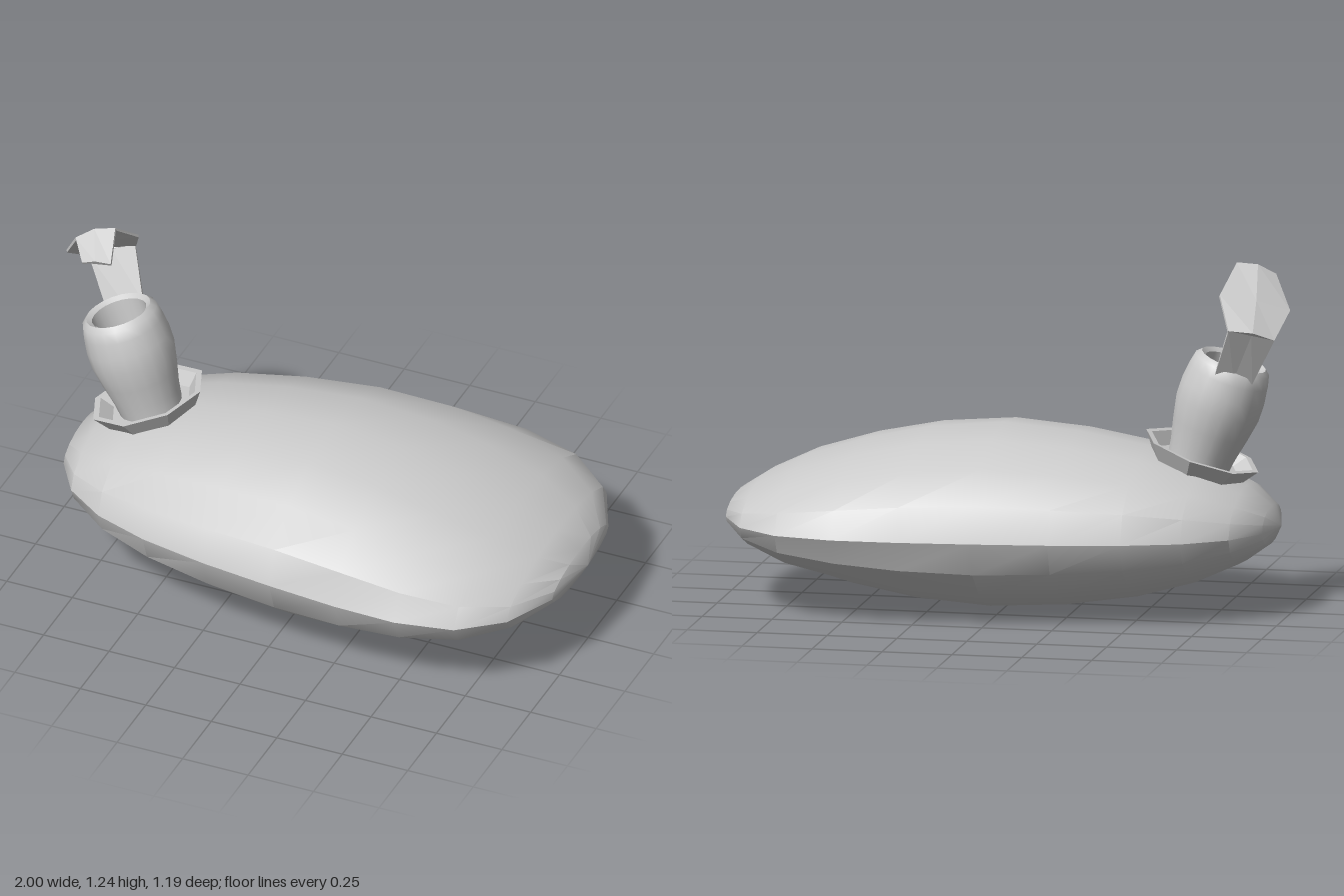
import * as THREE from 'three';
import { toCreasedNormals } from 'three/addons/utils/BufferGeometryUtils.js';

const material = (options = {}) => new THREE.MeshStandardMaterial({ color: 0xcccccc, ...options });

function addMesh(parent, name, geometry, mat) {
  const mesh = new THREE.Mesh(geometry, mat);
  mesh.name = name;
  parent.add(mesh);
  return mesh;
}

// Joins closed rings of equal point count into a surface, optionally capping the ends.
function loft(rings, capped = false) {
  const n = rings[0].length;
  const index = [];
  for (let i = 0; i < rings.length - 1; i++) {
    for (let j = 0; j < n; j++) {
      const k = (j + 1) % n;
      const a = i * n + j, b = a + n, c = (i + 1) * n + k, d = i * n + k;
      if (i < rings.length - 2 || capped) index.push(a, b, c);
      if (i > 0 || capped) index.push(a, c, d);
      else index.push(a, b, c);
      if (i === rings.length - 2 && !capped) index.push(a, b, d);
    }
  }
  if (capped) {
    const last = (rings.length - 1) * n;
    for (let j = 1; j < n - 1; j++) {
      index.push(0, j, j + 1, last, last + j + 1, last + j);
    }
  }
  const geometry = new THREE.BufferGeometry().setFromPoints(rings.flat());
  geometry.setIndex(index);
  geometry.computeVertexNormals();
  return geometry;
}

// Thin bent plate running through pairs of left and right edge points.
function plate(edges, bulge, thickness) {
  const pairs = edges.map(([l, r]) => [new THREE.Vector3(...l), new THREE.Vector3(...r)]);
  const mids = pairs.map(([l, r]) => l.clone().lerp(r, 0.5));
  const rings = pairs.map(([l, r], i) => {
    const along = mids[Math.min(i + 1, mids.length - 1)].clone().sub(mids[Math.max(i - 1, 0)]);
    const out = along.cross(r.clone().sub(l)).normalize();
    const outer = [l, mids[i].clone().addScaledVector(out, bulge), r];
    const inner = outer.map((p) => p.clone().addScaledVector(out, -thickness)).reverse();
    return [...outer, ...inner];
  });
  return loft(rings, true);
}

const profile = (points) => points.map(([r, y]) => new THREE.Vector2(r, y));

export function createModel() {
  const model = new THREE.Group();
  model.name = 'model';

  // Pebble body: x, half width, top, bottom at each station
  const equator = 0.313;
  const stations = [
    [-0.965, 0, equator, equator], [-0.93, 0.165, 0.385, 0.25], [-0.84, 0.305, 0.455, 0.185],
    [-0.69, 0.41, 0.525, 0.115], [-0.49, 0.48, 0.58, 0.058], [-0.24, 0.53, 0.622, 0.02],
    [0.03, 0.565, 0.643, 0.005], [0.29, 0.59, 0.618, 0.028], [0.52, 0.596, 0.567, 0.075],
    [0.73, 0.555, 0.5, 0.135], [0.88, 0.435, 0.428, 0.2], [0.97, 0.245, 0.37, 0.26],
    [1, 0, equator, equator],
  ];
  const rings = stations.map(([x, width, top, bottom]) => {
    const ring = [];
    for (let j = 0; j < 16; j++) {
      const angle = (j / 16) * Math.PI * 2;
      const s = Math.sin(angle);
      const height = s > 0 ? top - equator : equator - bottom;
      ring.push(new THREE.Vector3(x, equator + s * height, width * Math.cos(angle)));
    }
    return ring;
  });
  addMesh(model, 'body', toCreasedNormals(loft(rings), 0.54), material());

  // Leaning spout with its collar
  const spout = new THREE.Group();
  spout.name = 'spout';
  spout.position.set(-0.675, 0.55, 0);
  spout.rotation.z = THREE.MathUtils.degToRad(19);
  model.add(spout);

  const collar = new THREE.LatheGeometry(profile([
    [0.08, -0.045], [0.165, -0.045], [0.212, 0.02], [0.19, 0.02], [0.15, -0.02], [0.08, -0.02],
  ]), 8);
  addMesh(spout, 'collar', collar, material({ flatShading: true, side: THREE.DoubleSide }));

  const cup = new THREE.LatheGeometry(profile([
    [0.112, -0.03], [0.12, 0.03], [0.138, 0.11], [0.153, 0.19], [0.153, 0.25], [0.145, 0.31],
    [0.136, 0.35], [0.118, 0.367], [0.1, 0.355], [0.098, 0.31], [0.095, 0.2], [0, 0.2],
  ]), 20);
  addMesh(spout, 'cup', toCreasedNormals(cup, 0.8), material({ side: THREE.DoubleSide }));

  // Strap rising from the back of the cup, and the bent lid it carries
  const plateMaterial = material({ flatShading: true, side: THREE.DoubleSide });
  const hinge = [[-0.97, 1.0, -0.145], [-0.82, 1.04, -0.21]];
  addMesh(model, 'strap', plate([
    [[-0.88, 0.83, -0.095], [-0.755, 0.865, -0.135]],
    hinge,
  ], 0, 0.015), plateMaterial);
  addMesh(model, 'lid', plate([
    hinge,
    [[-1, 1.085, -0.02], [-0.77, 1.15, -0.12]],
    [[-0.935, 1.2, 0.05], [-0.805, 1.245, 0]],
    [[-0.875, 1.16, 0.13], [-0.768, 1.18, 0.125]],
  ], 0.015, 0.01), plateMaterial);

  return model;
}
